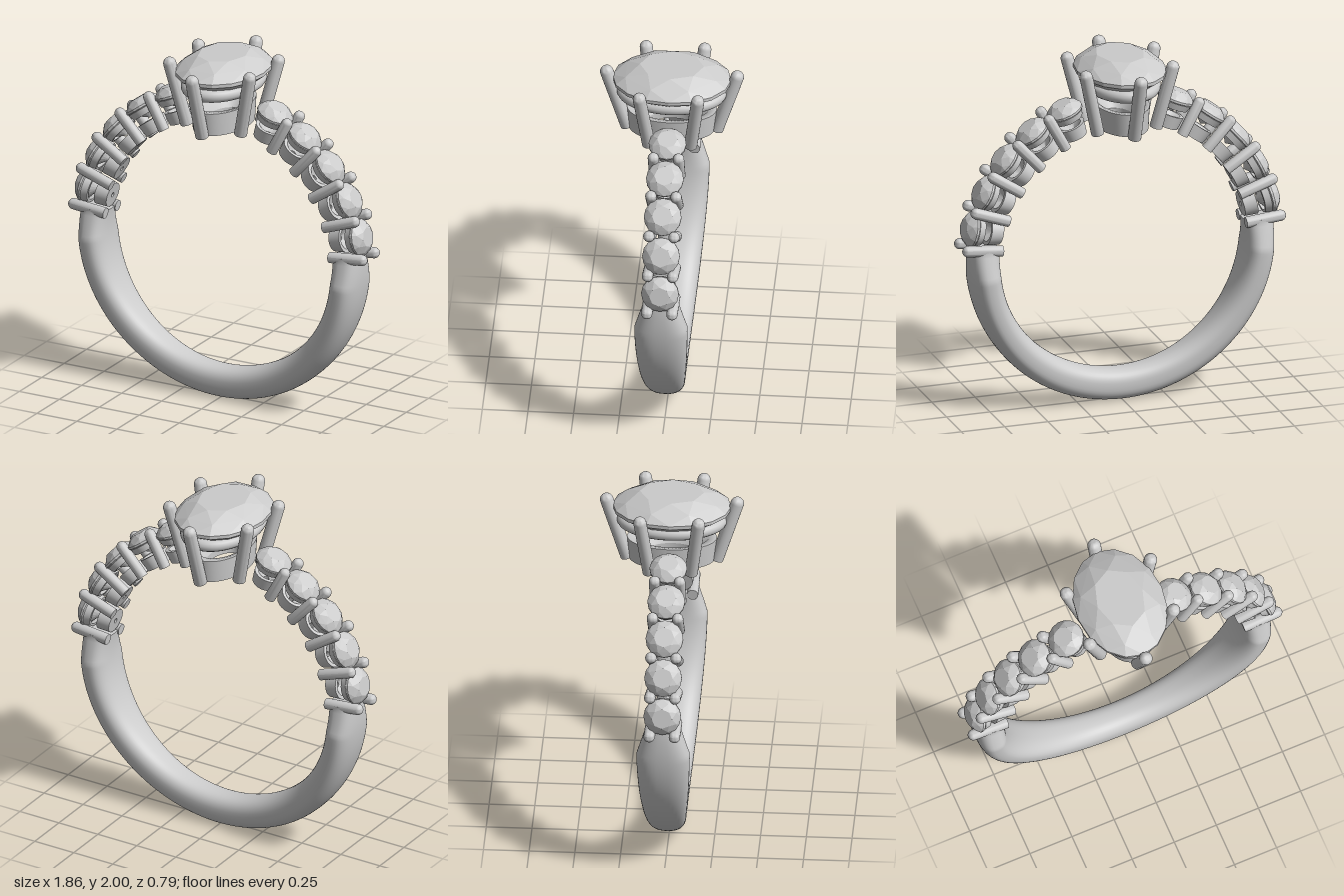
import * as THREE from 'three';
import { toCreasedNormals } from 'three/addons/utils/BufferGeometryUtils.js';
import { ConvexGeometry } from 'three/addons/geometries/ConvexGeometry.js';

const CY = 0.885; // height of the ring's centre
const RAD = Math.PI / 180;
const metal = new THREE.MeshStandardMaterial({ color: 0xcccccc });
const gemMaterial = new THREE.MeshStandardMaterial({ color: 0xcccccc, flatShading: true });

function add(parent, name, geometry, material = metal) {
  const mesh = new THREE.Mesh(geometry, material);
  mesh.name = name;
  parent.add(mesh);
  return mesh;
}

// Half width of the band at a given height: swells upward, then pinches to the stones
function bandHalfWidth(y) {
  if (y > 0.8) return THREE.MathUtils.lerp(0.146, 0.1, Math.min(1, (y - 0.8) / 0.15));
  const t = Math.max(0, (y - 0.09) / 0.71);
  return 0.09 + 0.056 * (1 - Math.pow(1 - t, 1.6));
}

// Plain lower band: rounded section swept around the circle, with flat ends
function bandGeometry() {
  const steps = 144, sides = 40, start = 174 * RAD, end = 366 * RAD;
  const pos = [], index = [];
  const row = (theta, scale) => {
    const s = Math.sin(theta);
    const outer = 0.873 + 0.012 * Math.max(0, -s);
    const mid = (outer + 0.708) / 2, half = (outer - 0.708) / 2;
    const w = bandHalfWidth(CY + 0.79 * s);
    for (let j = 0; j < sides; j++) {
      const p = (j / sides) * Math.PI * 2, c = Math.cos(p), q = Math.sin(p);
      const r = mid + scale * half * Math.sign(c) * Math.pow(Math.abs(c), 0.8);
      const z = scale * w * Math.sign(q) * Math.pow(Math.abs(q), 0.8);
      pos.push(r * Math.cos(theta), CY + r * s, z);
    }
  };
  row(start, 0);
  row(start, 1);
  for (let i = 0; i <= steps; i++) row(start + ((end - start) * i) / steps, 1);
  row(end, 1);
  row(end, 0);
  for (let i = 0; i < steps + 4; i++) {
    for (let j = 0; j < sides; j++) {
      const k = (j + 1) % sides;
      const a = i * sides + j, b = a + sides, c = i * sides + k, d = c + sides;
      index.push(a, b, c, b, d, c);
    }
  }
  const g = new THREE.BufferGeometry();
  g.setAttribute('position', new THREE.Float32BufferAttribute(pos, 3));
  g.setIndex(index);
  g.computeVertexNormals();
  return g;
}

// Brilliant cut: table, crown, girdle, pavilion and point; girdle sits at y = 0
function gemGeometry(rx, rz, crown, girdle, depth) {
  const points = [new THREE.Vector3(0, -depth, 0)];
  const ring = (n, r, y, turn) => {
    for (let i = 0; i < n; i++) {
      const a = ((i + turn) / n) * Math.PI * 2;
      points.push(new THREE.Vector3(rx * r * Math.cos(a), y, rz * r * Math.sin(a)));
    }
  };
  ring(8, 0.54, crown, 0);
  ring(8, 0.83, crown * 0.52, 0.5);
  ring(16, 1, 0, 0);
  ring(16, 1, -girdle, 0);
  ring(8, 0.62, -girdle - (depth - girdle) * 0.36, 0.5);
  return new ConvexGeometry(points);
}

function latheGeometry(profile, segments = 40) {
  const g = new THREE.LatheGeometry(profile.map(([x, y]) => new THREE.Vector2(x, y)), segments);
  return toCreasedNormals(g, 35 * RAD);
}

// Round wire between two points with a domed tip at the second
function prong(parent, name, from, to, radius) {
  const a = new THREE.Vector3(...from), b = new THREE.Vector3(...to);
  const dir = b.clone().sub(a), length = dir.length();
  const g = latheGeometry([
    [0, 0], [radius, 0], [radius, length],
    ...[15, 30, 45, 60, 75, 90].map((d) =>
      [radius * Math.max(0, Math.cos(d * RAD)), length + radius * Math.sin(d * RAD)]),
  ], 20);
  const mesh = add(parent, name, g);
  mesh.position.copy(a);
  mesh.quaternion.setFromUnitVectors(new THREE.Vector3(0, 1, 0), dir.normalize());
}

export function createModel() {
  const model = new THREE.Group();
  model.name = 'ring';
  add(model, 'band', bandGeometry());

  // Shoulders: five stones and their prongs on each side
  const sideGem = gemGeometry(0.103, 0.103, 0.044, 0.012, 0.085);
  const cup = latheGeometry([
    [0.014, 0.712], [0.07, 0.712], [0.08, 0.785], [0.06, 0.785], [0.014, 0.745], [0.014, 0.712],
  ]);
  const collar = latheGeometry([
    [0.072, 0.825], [0.086, 0.825], [0.097, 0.862], [0.086, 0.866], [0.072, 0.825],
  ]);
  for (const side of [1, -1]) {
    const shoulder = new THREE.Group();
    shoulder.name = side > 0 ? 'leftShoulder' : 'rightShoulder';
    model.add(shoulder);
    for (let i = 0; i < 5; i++) {
      const setting = new THREE.Group();
      setting.name = 'sideSetting';
      setting.position.y = CY;
      setting.rotation.z = -side * (77.5 - 14 * i) * RAD;
      shoulder.add(setting);
      add(setting, 'stoneCup', cup);
      add(setting, 'stoneCollar', collar);
      add(setting, 'sideStone', sideGem, gemMaterial).position.y = 0.88;

      const a = (5.5 + 14 * i) * RAD;
      const at = (r, z) => [side * r * Math.cos(a), CY + r * Math.sin(a), z];
      for (const z of [0.069, -0.069]) {
        prong(shoulder, 'sideProng', at(0.705, z), at(0.905, z), 0.031);
      }
    }
  }

  // Head: oval base, gallery ring, six prongs and the centre stone
  const head = new THREE.Group();
  head.name = 'head';
  model.add(head);

  const base = add(head, 'headBase', latheGeometry([
    [0.55, 0], [0.96, 0], [1, 0.13], [0.82, 0.13], [0.55, 0.04], [0.55, 0],
  ], 64));
  base.scale.set(0.15, 1, 0.245);
  base.position.y = 1.59;

  class Oval extends THREE.Curve {
    getPoint(t, target = new THREE.Vector3()) {
      const a = t * Math.PI * 2;
      return target.set(0.175 * Math.cos(a), 1.833, 0.268 * Math.sin(a));
    }
  }
  add(head, 'galleryRing', new THREE.TubeGeometry(new Oval(), 72, 0.035, 14, true));

  for (const sz of [1, -1]) {
    prong(head, 'endProng', [0, 1.588, sz * 0.245], [0, 1.94, sz * 0.357], 0.037);
    for (const sx of [1, -1]) {
      prong(head, 'cornerProng', [sx * 0.168, 1.588, sz * 0.115], [sx * 0.25, 1.94, sz * 0.16], 0.036);
    }
  }

  const stone = add(head, 'centreStone', gemGeometry(0.247, 0.325, 0.08, 0.02, 0.21), gemMaterial);
  stone.position.y = 1.92;
  return model;
}
